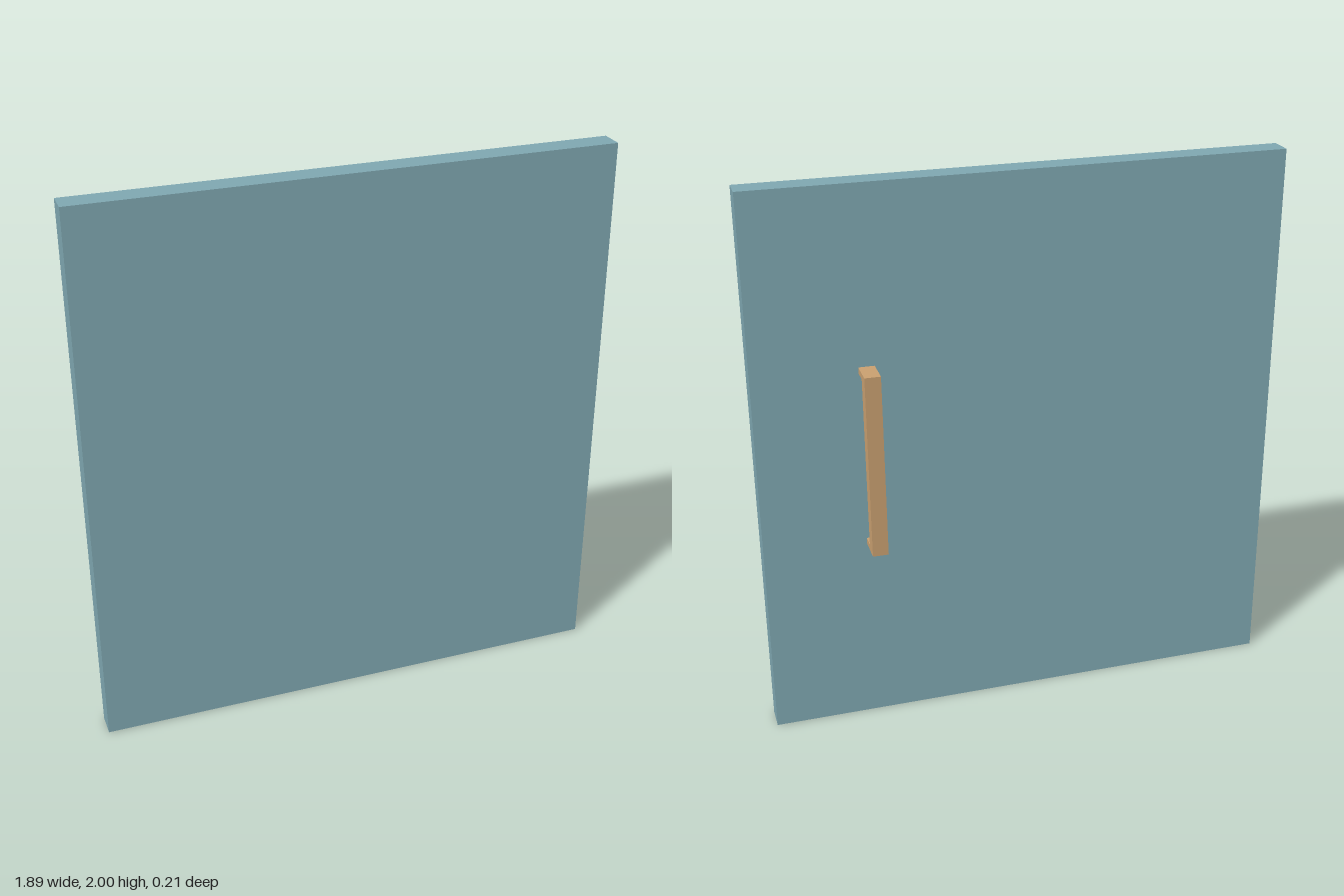
import * as THREE from 'three';

export function createModel() {
  const model = new THREE.Group();
  model.name = 'door';
  const paint = new THREE.MeshStandardMaterial({ color: 0x7fa7b1 });
  const brass = new THREE.MeshStandardMaterial({ color: 0xc9a070 });

  // Door leaf, standing slightly ajar
  const leaf = new THREE.Group();
  leaf.name = 'doorLeaf';
  leaf.position.z = 0.0475;
  leaf.rotation.y = 0.0148;
  model.add(leaf);

  const thickness = 0.087;
  const panel = new THREE.Mesh(new THREE.BoxGeometry(1.89, 2, thickness), paint);
  panel.name = 'panel';
  panel.position.y = 1;
  leaf.add(panel);

  // C-shaped pull handle: side profile, x = distance behind the panel's middle
  const inner = thickness / 2, outer = 0.1445, grip = 0.096;
  const bottom = 0.7, top = 1.37, post = 0.022, fillet = 0.008, width = 0.056;
  const profile = new THREE.Shape();
  profile.moveTo(inner, bottom);
  profile.lineTo(outer, bottom);
  profile.lineTo(outer, top);
  profile.lineTo(inner, top);
  profile.lineTo(inner, top - post);
  profile.lineTo(grip - fillet, top - post);
  profile.quadraticCurveTo(grip, top - post, grip, top - post - fillet);
  profile.lineTo(grip, bottom + post + fillet);
  profile.quadraticCurveTo(grip, bottom + post, grip - fillet, bottom + post);
  profile.lineTo(inner, bottom + post);
  profile.closePath();

  const geometry = new THREE.ExtrudeGeometry(profile, {
    depth: width, bevelEnabled: false, curveSegments: 4,
  });
  geometry.translate(0, 0, -width / 2);
  geometry.rotateY(Math.PI / 2);
  const handle = new THREE.Mesh(geometry, brass);
  handle.name = 'pullHandle';
  handle.position.x = 0.552;
  leaf.add(handle);

  return model;
}
